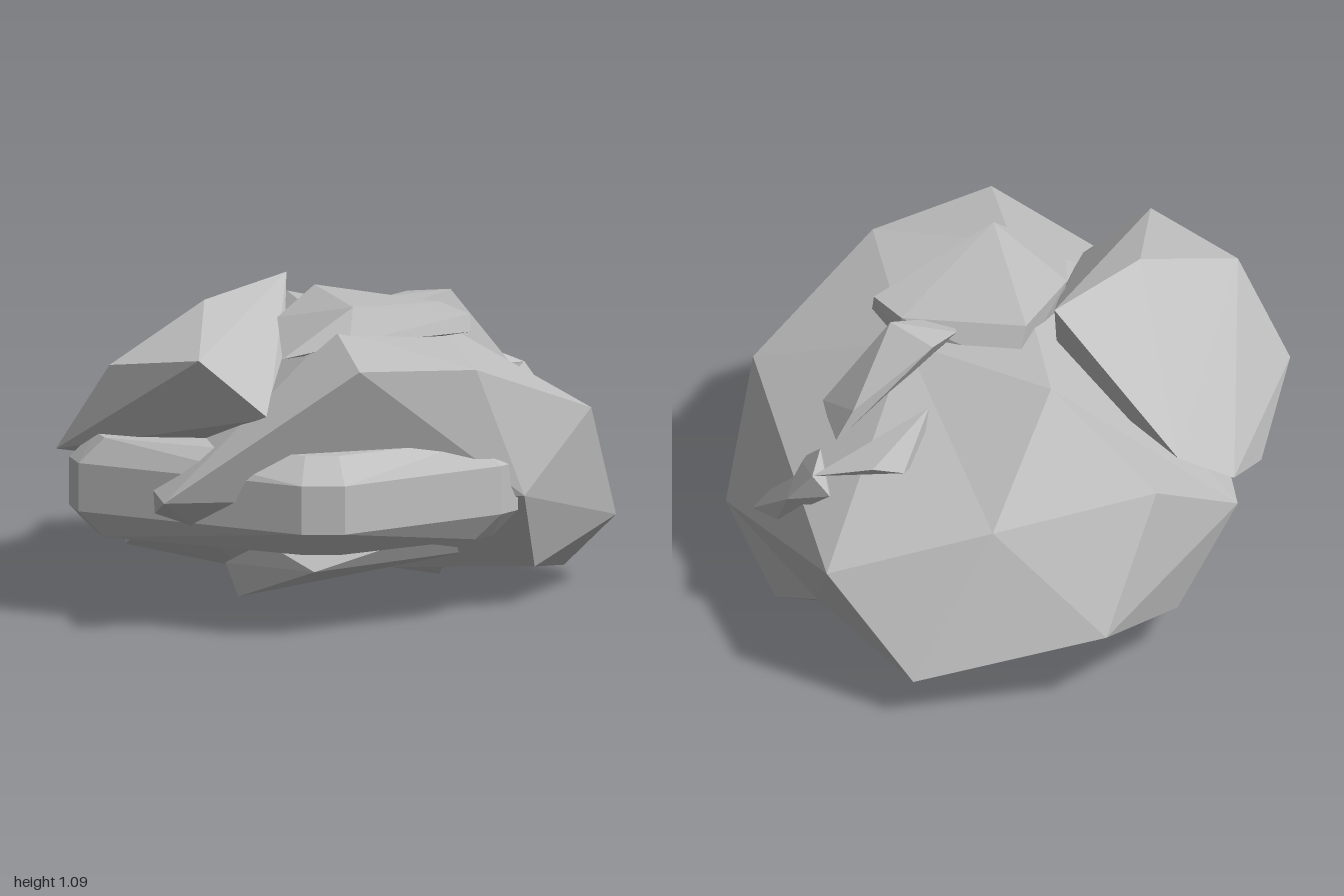
import * as THREE from 'three';
import { ConvexGeometry } from 'three/addons/geometries/ConvexGeometry.js';

const stone = new THREE.MeshStandardMaterial({ color: 0xc0c0c0, flatShading: true });
stone.name = 'grey stone';

const toVectors = (corners) => corners.map(([x, y, z]) => new THREE.Vector3(x, y, z));

function stoneMesh(name, geometry) {
  const mesh = new THREE.Mesh(geometry, stone);
  mesh.name = name;
  return mesh;
}

// A faceted stone spanned by its corner points.
const rock = (name, corners) => stoneMesh(name, new ConvexGeometry(toVectors(corners)));

// A stone with dents: facets are laid out on a sphere, then pulled to the corner points.
function dentedRock(name, center, corners) {
  const points = toVectors(corners);
  const middle = new THREE.Vector3(...center);
  const squash = new THREE.Vector3(1, 1.8, 1);
  const directions = points.map((p) => p.clone().sub(middle).multiply(squash).normalize());
  const geometry = new ConvexGeometry(directions);
  const position = geometry.attributes.position;
  const v = new THREE.Vector3();
  for (let i = 0; i < position.count; i++) {
    v.fromBufferAttribute(position, i);
    const nearest = directions.findIndex((d) => d.distanceToSquared(v) < 1e-8);
    position.setXYZ(i, ...points[nearest].toArray());
  }
  geometry.computeVertexNormals();
  return stoneMesh(name, geometry);
}

// A flat stone from a plan outline, with bevelled upper and lower rims.
function slab(name, outline, y0, y1, bevel) {
  const cx = outline.reduce((s, p) => s + p[0], 0) / outline.length;
  const cz = outline.reduce((s, p) => s + p[1], 0) / outline.length;
  const corners = [];
  for (const [x, z] of outline) {
    for (const y of [y0 + bevel, y1 - bevel]) corners.push([x, y, z]);
    const k = 1 - bevel / Math.hypot(x - cx, z - cz);
    for (const y of [y0, y1]) corners.push([cx + (x - cx) * k, y, cz + (z - cz) * k]);
  }
  return rock(name, corners);
}

export function createModel() {
  const group = new THREE.Group();
  group.name = 'rock pile';

  group.add(
    // Large boulder forming the body
    dentedRock('mainBoulder', [0.1, 0.48, 0], [
      [-0.18, 0.95, 0.96], [0.28, 0.91, 0.88], [0.82, 0.68, 0.57], [0.99, 0.25, 0.36],
      [0.91, 0.02, 0.06], [0.6, 0.14, 0.6], [0.48, 0.44, 0.82], [-0.82, 0.49, 0.74],
      [0.945, 0.5, -0.6], [0.71, 0.155, -0.84], [0.06, 0.3, -1], [0.4, 0.66, -0.78],
      [-0.18, 0.74, -0.83], [0.06, 0.96, -0.4], [-0.1, 1.01, 0.5], [0.42, 0.93, 0.1],
      [0.08, 0, -0.35], [0.865, 0.185, -0.26], [-0.3, 0.18, -0.7], [-0.62, 0.16, -0.17],
      [-0.4, 0.17, 0.4], [-0.55, 0.5, -0.61],
    ]),
    // Stone resting on the left, overhanging the slab
    rock('upperLeftBoulder', [
      [-0.05, 1.09, -0.11], [-0.45, 1.07, 0.15], [-0.65, 0.96, 0.63], [-0.86, 0.9, 0.31],
      [-0.99, 0.58, 0.13], [-0.33, 0.73, -0.62], [-0.54, 0.6, -0.6], [-0.73, 0.48, -0.33],
      [-0.43, 0.76, 0.73], [-0.33, 0.74, 0.6], [-0.1, 0.8, 0], [-0.5, 0.5, 0.2],
    ]),
    // Bevelled flat slab along the front
    slab('frontSlab', [
      [-0.2, 0.98], [-0.25, 1.0], [-0.39, 0.95], [-0.97, 0.3], [-0.96, 0.18],
      [-0.7, -0.05], [0.2, 0.1], [0.45, 0.7], [0.46, 0.81], [0.38, 0.86],
    ], 0.3, 0.65, 0.09),
    // Tilted plate on the summit
    rock('topPlate', [
      [-0.04, 1.085, 0.52], [0.46, 0.99, 0.33], [0.42, 1.0, 0.15], [-0.2, 1.0, 0.2],
      [0.05, 1.04, -0.1], [-0.08, 0.97, 0.59], [0.46, 0.93, 0.35], [0.42, 0.9, 0.15],
      [-0.3, 0.92, 0.52], [-0.18, 0.9, 0.2], [0.1, 0.9, -0.15],
    ]),
    // Wedge leaning on the right shoulder
    rock('rightWedge', [
      [0.24, 0.98, 0.13], [0.27, 1.0, 0], [0.38, 1.0, -0.07], [0.48, 1.03, 0.09],
      [0.67, 0.8, -0.07], [0.71, 0.73, 0.14], [0.74, 0.68, -0.07], [0.45, 0.75, 0.1],
    ]),
    // Sliver running down the right side
    rock('rightSliver', [
      [0.88, 0.68, -0.25], [0.98, 0.37, 0.1], [0.93, 0.36, 0.15], [0.95, 0.42, -0.08],
      [0.95, 0.56, -0.18], [0.84, 0.6, 0], [0.8, 0.69, -0.1], [0.85, 0.65, -0.35],
      [0.75, 0.5, -0.1],
    ]),
    // Small ridge behind the wedge
    rock('rightRidge', [
      [0.45, 0.87, -0.24], [0.6, 0.73, -0.41], [0.7, 0.74, -0.37], [0.88, 0.68, -0.25],
      [0.55, 0.7, -0.1], [0.5, 0.7, -0.3],
    ]),
    // Pebble wedged beneath the slab
    rock('lowerPebble', [
      [-0.53, 0.23, 0.57], [-0.47, 0.1, 0.54], [-0.25, 0.2, 0.7], [-0.42, 0.31, 0.66],
      [0.4, 0.21, 0.58], [0.1, 0.28, 0.68], [-0.2, 0.16, 0.4], [0.1, 0.22, 0.3],
    ]),
    // Low stone under the right front
    rock('baseStone', [
      [0.48, 0.003, -0.02], [0.3, 0.03, -0.1], [0.45, 0.06, 0.1],
      [0.52, 0.05, -0.1], [0.4, 0.2, 0],
    ]),
  );
  return group;
}
